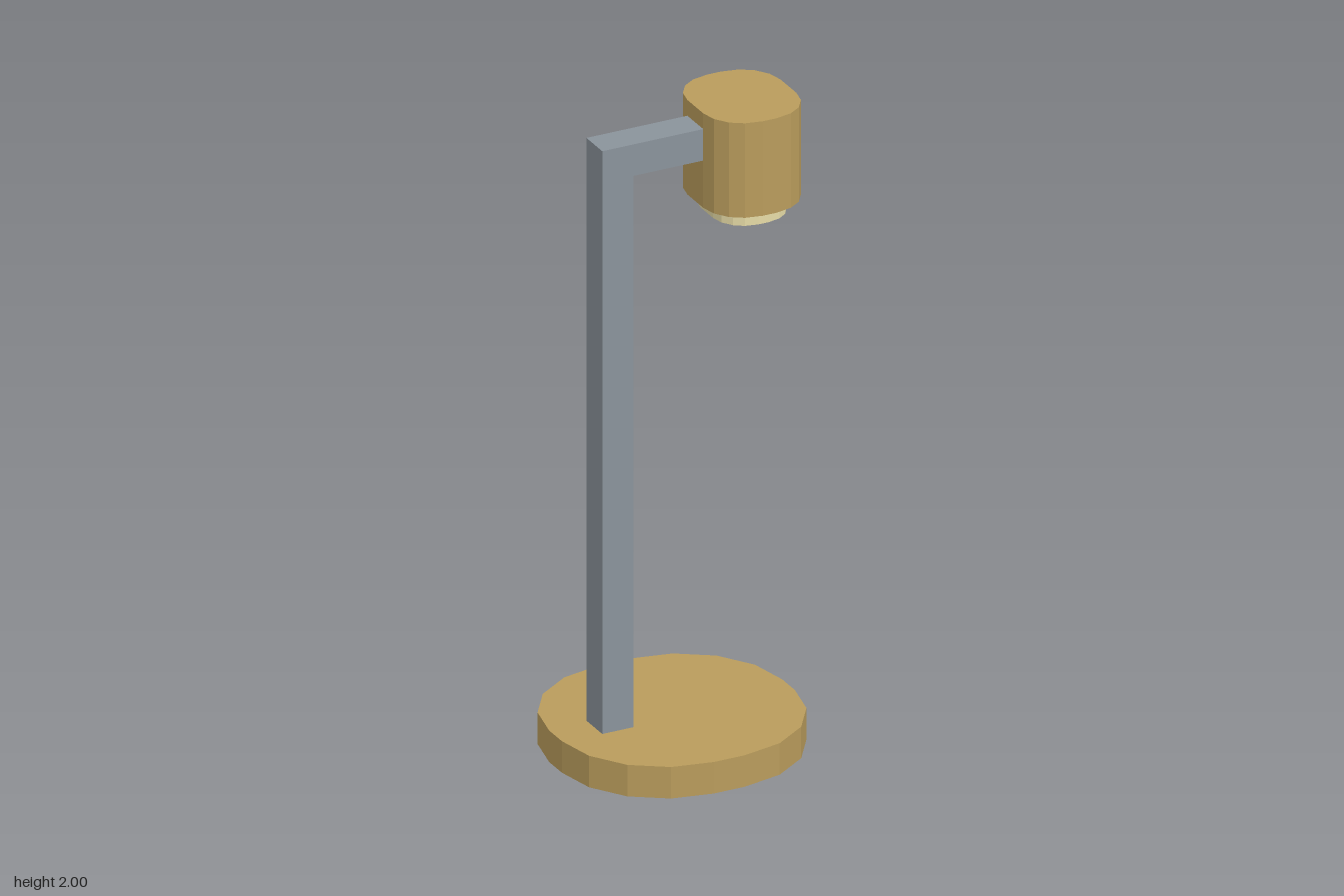
import * as THREE from 'three';

const material = (color) => new THREE.MeshStandardMaterial({ color, flatShading: true });

// Mirrors one quadrant of a faceted outline into a closed 20-sided prism.
function prism(name, quadrant, height, mat, x, y) {
  const mirrored = (sx, sz) => quadrant.map(([px, pz]) => new THREE.Vector2(px * sx, pz * sz));
  const outline = [
    ...mirrored(1, 1).reverse(),
    ...mirrored(-1, 1),
    ...mirrored(-1, -1).reverse(),
    ...mirrored(1, -1),
  ];
  const geometry = new THREE.ExtrudeGeometry(new THREE.Shape(outline), { depth: height, bevelEnabled: false });
  geometry.rotateX(-Math.PI / 2);
  const mesh = new THREE.Mesh(geometry, mat);
  mesh.name = name;
  mesh.position.set(x, y, 0);
  return mesh;
}

export function createModel() {
  const model = new THREE.Group();
  model.name = 'lamp';
  const brass = material(0xb99c5c);
  const steel = material(0x8a939b);
  const glow = material(0xe6dba6);

  // Round base plate
  const baseOutline = [[0.05, 0.362], [0.175, 0.336], [0.28, 0.266], [0.35, 0.162], [0.375, 0.04]];
  model.add(prism('base', baseOutline, 0.1, brass, 0, 0));

  // Post and arm as one bent square bar
  const bar = new THREE.Shape([
    [-0.25, 0.1], [-0.15, 0.1], [-0.15, 1.85], [0.1, 1.85], [0.1, 1.95], [-0.25, 1.95],
  ].map(([x, y]) => new THREE.Vector2(x, y)));
  const stand = new THREE.Mesh(new THREE.ExtrudeGeometry(bar, { depth: 0.1, bevelEnabled: false }), steel);
  stand.name = 'postAndArm';
  stand.position.z = -0.05;
  model.add(stand);

  // Lamp head with the bulb below it
  const headOutline = [[0.022, 0.175], [0.074, 0.164], [0.112, 0.139], [0.14, 0.098], [0.15, 0.05]];
  model.add(prism('lampHead', headOutline, 0.3, brass, 0.225, 1.7));
  const bulbOutline = headOutline.map(([x, z]) => [x * 0.75, z * 0.78]);
  model.add(prism('bulb', bulbOutline, 0.06, glow, 0.225, 1.655));

  return model;
}
